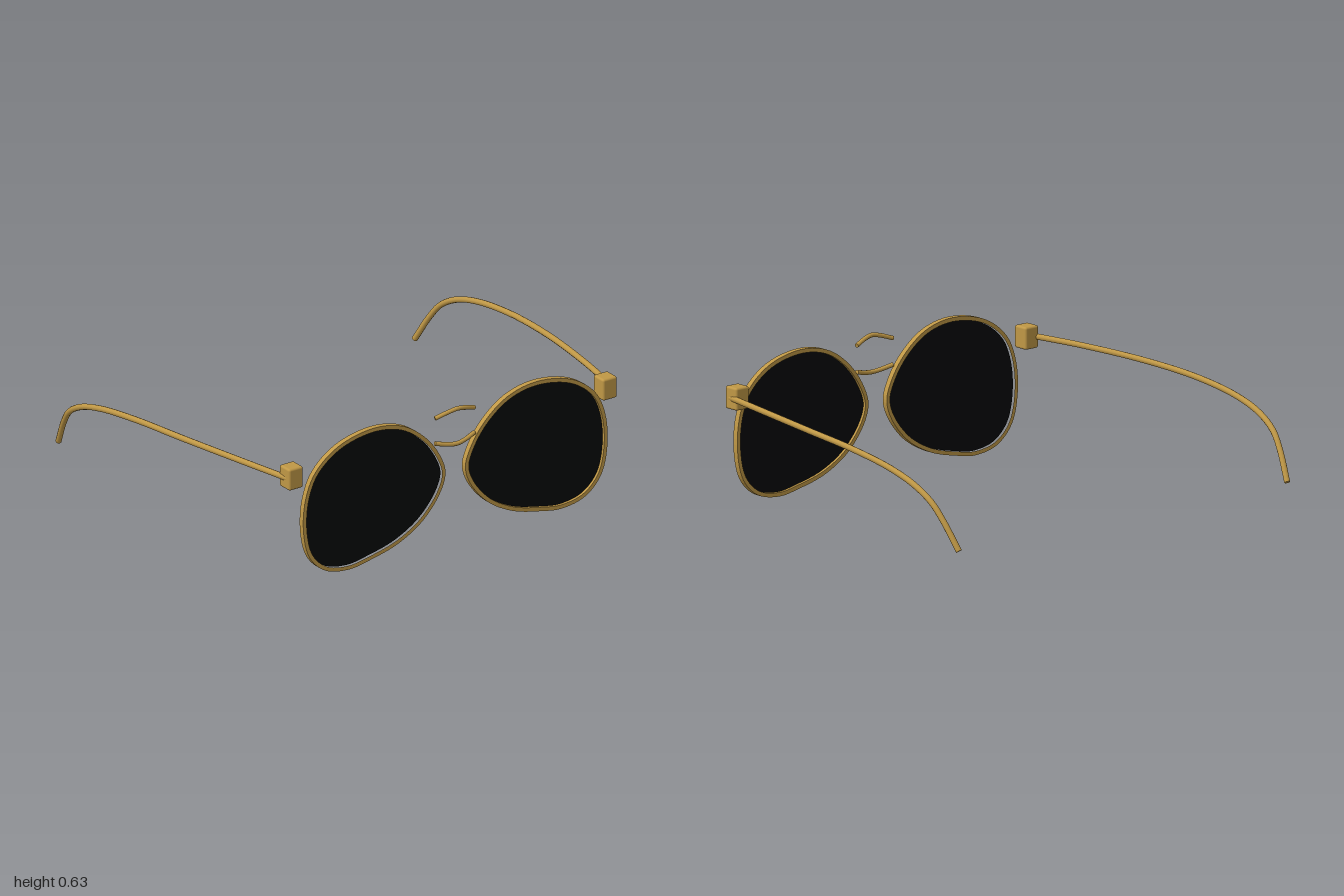
import * as THREE from 'three';
import { RoundedBoxGeometry } from 'three/addons/geometries/RoundedBoxGeometry.js';

const gold = new THREE.MeshStandardMaterial({ color: 0xc09846 });
const dark = new THREE.MeshStandardMaterial({ color: 0x050708, side: THREE.DoubleSide });

const FRONT_X = 0.793; // plane of the lenses
const RIM_WIDTH = 0.018;
const RIM_DEPTH = 0.026;

// Outer edge of the rim as [z, y], left side
const OUTLINE = [
  [0.426, 0.63], [0.272, 0.598], [0.152, 0.511], [0.078, 0.408], [0.052, 0.327], [0.076, 0.245],
  [0.168, 0.133], [0.298, 0.057], [0.448, 0.017], [0.56, 0.001], [0.683, 0.027], [0.766, 0.107],
  [0.799, 0.241], [0.787, 0.389], [0.736, 0.5], [0.614, 0.592],
];

// Temple arm centreline as [x, y, z], left side
const TEMPLE = [
  [0.775, 0.487, 0.848], [0.48, 0.485, 0.905], [0.135, 0.475, 0.956], [-0.18, 0.455, 0.98],
  [-0.43, 0.418, 0.986], [-0.58, 0.372, 0.983], [-0.68, 0.313, 0.974], [-0.742, 0.238, 0.96],
  [-0.815, 0.116, 0.936],
];

function add(parent, name, geometry, material) {
  const mesh = new THREE.Mesh(geometry, material);
  mesh.name = name;
  parent.add(mesh);
  return mesh;
}

// Round rod along a smooth curve, with flat end caps
function addRod(parent, name, points, radius, segments) {
  const curve = new THREE.CatmullRomCurve3(points);
  const rod = add(parent, name, new THREE.TubeGeometry(curve, segments, radius, 10), gold);
  for (const t of [0, 1]) {
    const cap = add(rod, name + 'End', new THREE.CircleGeometry(radius, 10), gold);
    const outward = curve.getTangent(t).multiplyScalar(t ? 1 : -1);
    cap.position.copy(curve.getPoint(t));
    cap.quaternion.setFromUnitVectors(new THREE.Vector3(0, 0, 1), outward);
  }
}

// Rim outline moved inwards by a distance, for the side s
function outlinePoints(s, inset) {
  const curve = new THREE.CatmullRomCurve3(OUTLINE.map(([z, y]) => new THREE.Vector3(-s * z, y, 0)), true);
  return Array.from({ length: 96 }, (_, i) => {
    const p = curve.getPoint(i / 96);
    const t = curve.getTangent(i / 96);
    return new THREE.Vector2(p.x + s * t.y * inset, p.y - s * t.x * inset);
  });
}

function createSide(s) {
  const side = new THREE.Group();
  side.name = s > 0 ? 'leftSide' : 'rightSide';

  // Flat band rim
  const inner = outlinePoints(s, RIM_WIDTH);
  const rimShape = new THREE.Shape(outlinePoints(s, 0));
  rimShape.holes.push(new THREE.Path(inner));
  const rim = add(side, 'rim', new THREE.ExtrudeGeometry(rimShape, { depth: RIM_DEPTH, bevelEnabled: false }), gold);
  rim.rotation.y = Math.PI / 2;
  rim.position.x = FRONT_X - RIM_DEPTH / 2;

  // Flat dark lens filling the rim
  const lens = add(side, 'lens', new THREE.ShapeGeometry(new THREE.Shape(inner)), dark);
  lens.rotation.y = Math.PI / 2;
  lens.position.x = FRONT_X;

  // Hinge block
  const hinge = add(side, 'hinge', new RoundedBoxGeometry(0.075, 0.1, 0.075, 2, 0.01), gold);
  hinge.position.set(0.753, 0.488, s * 0.825);

  // Temple arm curving down behind the ear
  addRod(side, 'temple', TEMPLE.map(([x, y, z]) => new THREE.Vector3(x, y, s * z)), 0.0135, 64);
  return side;
}

export function createModel() {
  const model = new THREE.Group();
  model.name = 'sunglasses';
  model.add(createSide(1), createSide(-1));

  // Brow bar and nose bridge, bowed forwards: end height, quarter height, middle height
  const bars = [['browBar', 0.589, 0.608, 0.616], ['noseBridge', 0.472, 0.458, 0.453]];
  for (const [name, end, quarter, middle] of bars) {
    addRod(model, name, [
      new THREE.Vector3(0.799, end, 0.103),
      new THREE.Vector3(0.812, quarter, 0.045),
      new THREE.Vector3(0.817, middle, 0),
      new THREE.Vector3(0.812, quarter, -0.045),
      new THREE.Vector3(0.799, end, -0.103),
    ], 0.01, 24);
  }
  return model;
}
